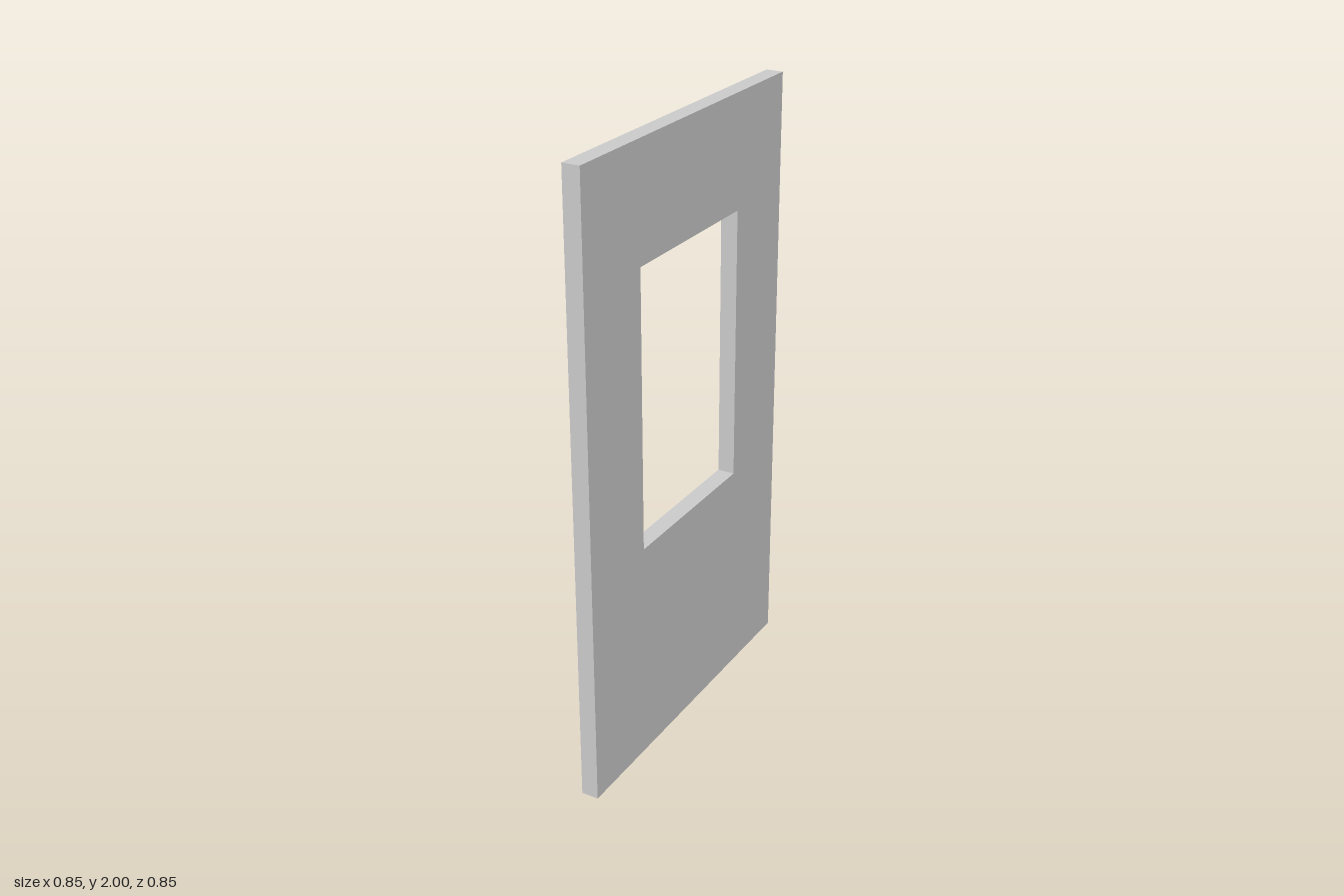
import * as THREE from 'three';

const WIDTH = 1.145, HEIGHT = 2, DEPTH = 0.056;
const OPENING = { left: -0.283, right: 0.288, bottom: 0.735, top: 1.635 };

// Adds a closed rectangle to a shape or path
function rectangle(path, left, bottom, right, top) {
  path.moveTo(left, bottom);
  path.lineTo(right, bottom);
  path.lineTo(right, top);
  path.lineTo(left, top);
  path.closePath();
  return path;
}

export function createModel() {
  const group = new THREE.Group();
  group.name = 'windowWall';

  // Wall panel with a rectangular window opening
  const outline = rectangle(new THREE.Shape(), -WIDTH / 2, 0, WIDTH / 2, HEIGHT);
  outline.holes.push(
    rectangle(new THREE.Path(), OPENING.left, OPENING.bottom, OPENING.right, OPENING.top)
  );
  const geometry = new THREE.ExtrudeGeometry(outline, { depth: DEPTH, bevelEnabled: false });
  geometry.translate(0, 0, -DEPTH / 2);

  const wall = new THREE.Mesh(geometry, new THREE.MeshStandardMaterial({ color: 0xcccccc }));
  wall.name = 'wallPanel';
  // The panel stands diagonally
  wall.rotation.y = Math.PI / 4;
  group.add(wall);

  return group;
}
